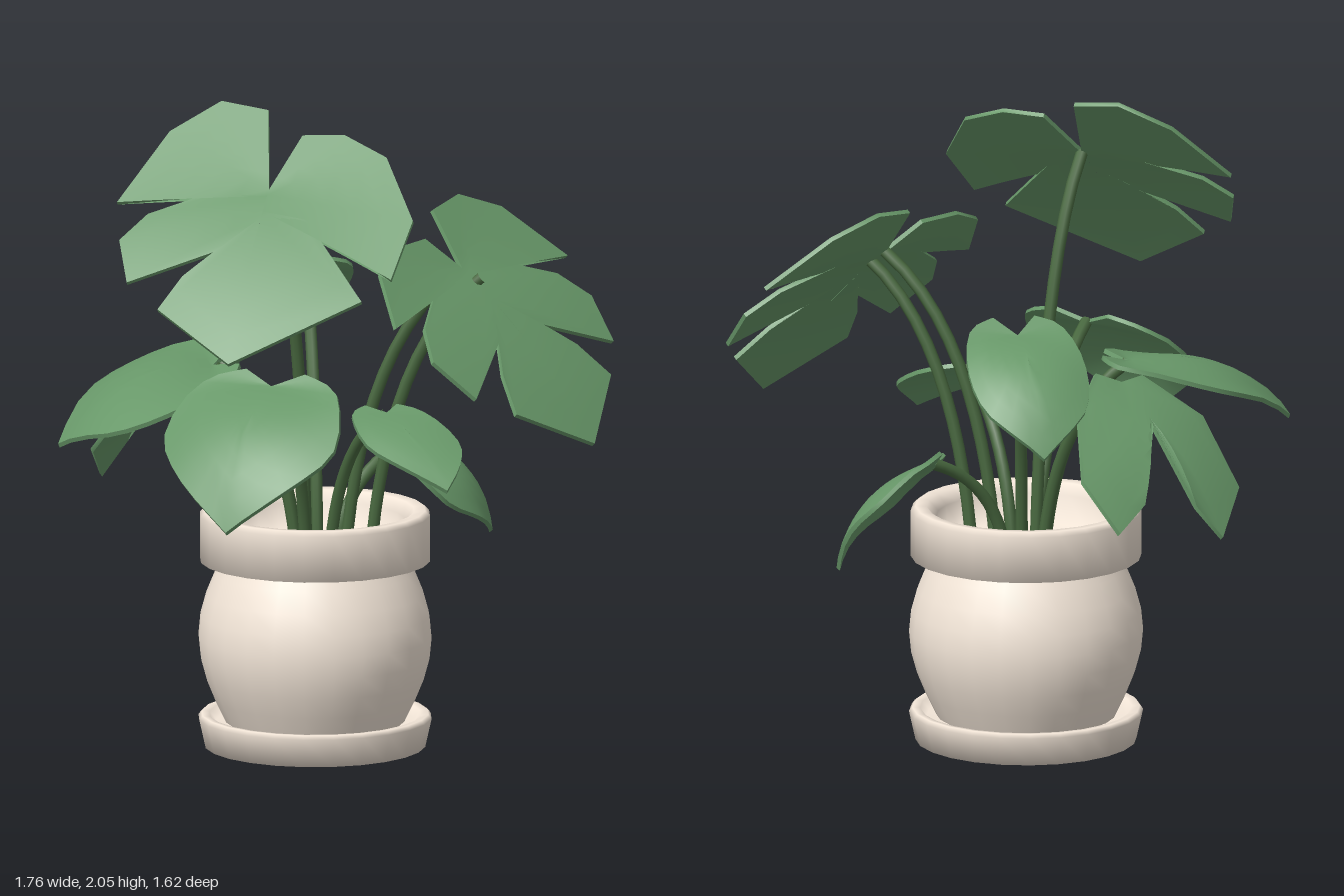
import * as THREE from 'three';
import { toCreasedNormals } from 'three/addons/utils/BufferGeometryUtils.js';

const leafMat = new THREE.MeshStandardMaterial({ color: 0x689869 });
const stemMat = new THREE.MeshStandardMaterial({ color: 0x48683f });
const potMat = new THREE.MeshStandardMaterial({ color: 0xf3e6d8 });
const vec = (p) => new THREE.Vector3(...p);
const rounded = (points) => new THREE.SplineCurve(points.map(([x, y]) => new THREE.Vector2(x, y))).getPoints(12).map((p) => [p.x, p.y]);

// Half outlines [along the midrib, across it]; the last point lies on the midrib.
const broad = rounded([[-0.15, 0.36], [-0.04, 0.82], [0.33, 1.02], [0.7, 0.82], [1, 0]]);
const pointed = rounded([[-0.1, 0.36], [0.02, 0.82], [0.42, 1.04], [0.74, 0.64], [1, 0]]);
const cleft = [[-0.05, 0.3], [0.25, 0.8], [0.7, 1], [1, 0.66], [0.85, 0.33], [0.37, 0]];
const twoCuts = [[-0.28, 0.13], [-0.3, 0.46], [-0.18, 0.76], [0.14, 1], [0.06, 0.42], [0.2, 0.77],
  [0.36, 0.92], [0.6, 0.8], [0.4, 0.25], [0.55, 0.43], [0.74, 0.55], [1, 0]];
const oneCut = [[-0.32, 0.14], [-0.34, 0.42], [-0.23, 0.74], [0.12, 1.02], [0.47, 0.97], [0.17, 0.31], [0.61, 0.81], [1, 0]];
// stretch the lobes behind the stem joint
const backLobe = (half, k) => half.map(([a, c]) => [a < 0 ? a * k : a, c]);

// Leaves: stem joint, vector to the tip, vector to the side, height of the bulge.
const leaves = [
  { name: 'tallSplitLeaf', half: backLobe(twoCuts, 1.6), otherHalf: oneCut, base: [-0.23, 1.82, 0.25], along: [-0.2, -0.46, 0.43], across: [-0.43, 0.01, -0.19], bulge: 0.03 },
  { name: 'sideSplitLeaf', half: backLobe(twoCuts, 0.7), otherHalf: backLobe(twoCuts, 1.1), base: [0.39, 1.53, 0.16], along: [0.37, -0.51, 0.29], across: [-0.33, -0.03, 0.36], bulge: 0.03, stems: 2 },
  { name: 'backLeaf', half: broad, base: [0, 1.41, -0.46], along: [-0.07, -0.31, -0.35], across: [0.18, 0, -0.03], bulge: 0.08 },
  { name: 'frontLeaf', half: pointed, base: [-0.25, 1.23, 0.42], along: [-0.2, -0.39, 0.34], across: [-0.23, 0, -0.165], bulge: 0.08 },
  { name: 'rightLeaf', half: broad, base: [-0.36, 1.21, -0.02], along: [-0.51, -0.21, 0.12], across: [0.02, 0.04, -0.27], bulge: 0.08 },
  { name: 'cleftBackLeaf', half: cleft, base: [-0.33, 1.2, -0.24], along: [-0.14, -0.39, -0.41], across: [0.25, 0.06, -0.19], bulge: 0.08 },
  { name: 'lowLeaf', half: pointed, base: [0.25, 0.92, -0.14], along: [0.3, -0.31, -0.1], across: [-0.02, -0.05, 0.17], bulge: 0.07 },
  { name: 'smallLeaf', half: pointed, base: [0.13, 1.11, 0.31], along: [0.14, -0.19, 0.31], across: [-0.14, 0, 0.01], bulge: 0.03 },
];

// Blade: rows run from the midrib out to the outline, bulging upward, with a thin edge.
function bladeGeometry({ half, otherHalf = half, base, along, across, bulge }) {
  const u = vec(along), w = vec(across);
  const normal = w.clone().cross(u).normalize();
  const sidePoints = (points, sign) => {
    let start = 0;
    return points.map(([a, c]) => {
      start = Math.max(start, 0.3 * a);
      return { a, c: c * sign, start };
    });
  };
  const rim = [...sidePoints(half, 1), ...sidePoints(otherHalf, -1).reverse().slice(1)];
  const rows = 5, width = rows + 1, under = rim.length * width;
  const pos = [], idx = [];
  for (const face of [1, -1]) {
    for (const { a, c, start } of rim) {
      for (let r = 0; r <= rows; r++) {
        const s = r / rows;
        const i = THREE.MathUtils.lerp(start, a, s), j = c * s;
        const rise = i > 0 ? bulge * 4 * i * (1 - i) * (1 - 0.6 * j * j) : 0;
        const p = vec(base).addScaledVector(u, i).addScaledVector(w, j);
        p.addScaledVector(normal, rise + face * 0.007);
        pos.push(p.x, p.y, p.z);
      }
    }
  }
  const quad = (a, c, d, e) => idx.push(a, c, d, a, d, e);
  for (let i = 0; i < rim.length - 1; i++) {
    for (let r = 0; r < rows; r++) {
      const a = i * width + r, c = a + width;
      quad(a, a + 1, c + 1, c);
      quad(under + a, under + c, under + c + 1, under + a + 1);
    }
    const e = i * width + rows, f = e + width;
    quad(e, under + e, under + f, f);
  }
  // edges on both sides of the gap behind the stem joint
  for (let r = 0; r < rows; r++) {
    quad(r, under + r, under + r + 1, r + 1);
    const a = under - width + r;
    quad(a, a + 1, under + a + 1, under + a);
  }
  const g = new THREE.BufferGeometry();
  g.setAttribute('position', new THREE.Float32BufferAttribute(pos, 3));
  g.setIndex(idx);
  return toCreasedNormals(g, 0.9);
}

// Stem: rises steeply from the soil, then leans out to the leaf.
function stemGeometry(base, shift) {
  const top = vec(base).add(shift);
  const root = new THREE.Vector3(0.2 * top.x - 0.03, 0.6, 0.1 * top.z).add(shift);
  const bend = root.clone().lerp(top, 0.15);
  bend.y = THREE.MathUtils.lerp(root.y, top.y, 0.75);
  return new THREE.TubeGeometry(new THREE.QuadraticBezierCurve3(root, bend, top), 12, 0.019, 8);
}

export function createModel() {
  const model = new THREE.Group();
  const add = (name, geometry, material) => {
    const mesh = new THREE.Mesh(geometry, material);
    mesh.name = name;
    model.add(mesh);
    return mesh;
  };
  const turned = (name, profile) => {
    const points = profile.map(([r, y]) => new THREE.Vector2(r, y));
    add(name, new THREE.LatheGeometry(points, 24), potMat).position.x = -0.045;
  };

  // Saucer, bulging body, and a thick collar around the soil
  turned('saucer', [[0, 0], [0.345, 0], [0.365, 0.09], [0.355, 0.103], [0.33, 0.1], [0.31, 0.075], [0, 0.075]]);
  const body = [];
  for (let i = 0; i <= 8; i++) body.push([0.28 + 0.085 * Math.sin((Math.PI * i) / 8), 0.08 + 0.067 * i]);
  turned('potBody', body);
  turned('potRim', [[0.27, 0.59], [0.36, 0.59], [0.36, 0.735], [0.345, 0.75], [0.31, 0.747], [0.28, 0.715], [0.275, 0.62], [0, 0.62]]);

  // Leaves with their curved stems
  for (const leaf of leaves) {
    add(leaf.name, bladeGeometry(leaf), leafMat);
    for (let i = 0; i < (leaf.stems ?? 1); i++) {
      const shift = new THREE.Vector3(0.06, -0.02, 0.03).multiplyScalar(i);
      add(leaf.name + 'Stem', stemGeometry(leaf.base, shift), stemMat);
    }
  }
  return model;
}
